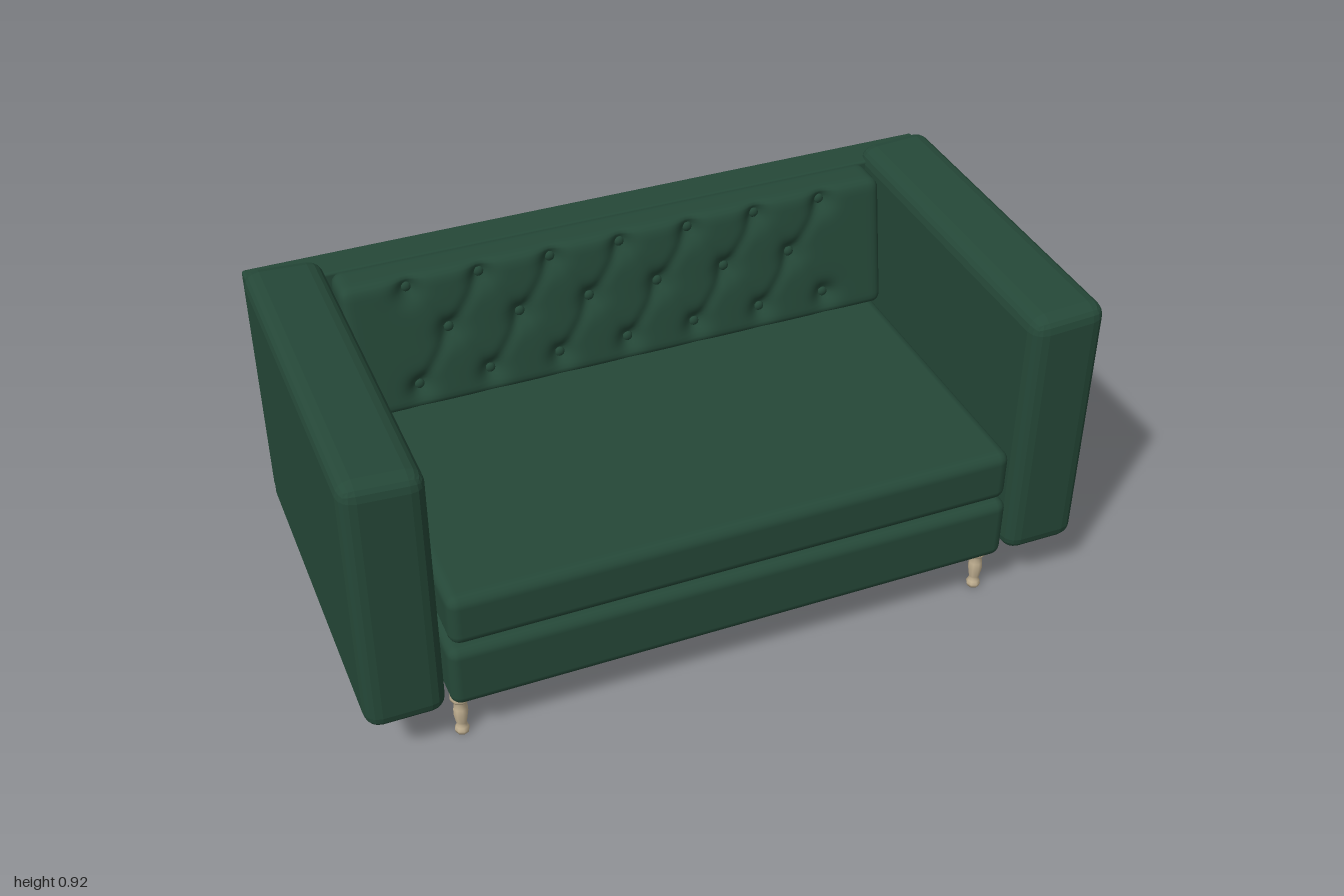
import * as THREE from 'three';
import { mergeVertices } from 'three/addons/utils/BufferGeometryUtils.js';
import { RoundedBoxGeometry } from 'three/addons/geometries/RoundedBoxGeometry.js';

const green = new THREE.MeshStandardMaterial({ color: 0x254838 });
green.name = 'green upholstery';
const wood = new THREE.MeshStandardMaterial({ color: 0xc4b394 });
wood.name = 'pale wood';

function add(parent, name, geometry, material, x = 0, y = 0, z = 0) {
  const mesh = new THREE.Mesh(geometry, material);
  mesh.name = name;
  mesh.position.set(x, y, z);
  parent.add(mesh);
  return mesh;
}

// Rounded block given by its limits on each axis
function block(parent, name, [x0, x1], [y0, y1], [z0, z1], radius) {
  const geometry = new RoundedBoxGeometry(x1 - x0, y1 - y0, z1 - z0, 2, radius);
  return add(parent, name, geometry, green, (x0 + x1) / 2, (y0 + y1) / 2, (z0 + z1) / 2);
}

// Button centres on the back cushion: rows of 7, 6 and 7
const buttons = [];
for (const [y, count] of [[0.845, 7], [0.71, 6], [0.567, 7]]) {
  for (let i = 0; i < count; i++) buttons.push([(i - (count - 1) / 2) * 0.2, y]);
}

// Creases join each button to its diagonal neighbours
const creases = [];
for (const a of buttons) {
  for (const b of buttons) {
    if (a[1] > b[1] && a[1] - b[1] < 0.2 && Math.abs(a[0] - b[0]) < 0.15) creases.push([a, b]);
  }
}

function creaseDistance(x, y, [a, b]) {
  const dx = b[0] - a[0], dy = b[1] - a[1];
  const t = THREE.MathUtils.clamp(((x - a[0]) * dx + (y - a[1]) * dy) / (dx * dx + dy * dy), 0, 1);
  return Math.hypot(x - a[0] - t * dx, y - a[1] - t * dy);
}

// How far the tufted front is pulled in at a point
function tuftDepth(x, y) {
  let depth = 0;
  for (const [bx, by] of buttons) {
    depth += 0.026 * Math.exp(-((x - bx) ** 2 + (y - by) ** 2) / 0.0012);
  }
  let nearest = 1;
  for (const crease of creases) nearest = Math.min(nearest, creaseDistance(x, y, crease));
  return depth + 0.007 * Math.exp(-(nearest ** 2) / 0.0003);
}

// Leaning back cushion: a rounded box whose front is sloped and tufted
function tuftedCushion() {
  const w = 1.56, h = 0.375, d = 0.16, r = 0.03;
  const bottom = 0.505, back = -0.43;
  let geometry = new THREE.BoxGeometry(w, h, d, 130, 32, 8);
  geometry.deleteAttribute('uv');
  geometry.deleteAttribute('normal');
  geometry = mergeVertices(geometry);
  const p = geometry.attributes.position;
  const v = new THREE.Vector3(), core = new THREE.Vector3();
  const limit = new THREE.Vector3(w / 2 - r, h / 2 - r, d / 2 - r);
  for (let i = 0; i < p.count; i++) {
    v.fromBufferAttribute(p, i);
    core.copy(v).clamp(limit.clone().negate(), limit);
    v.sub(core).setLength(r).add(core);
    const y = v.y + h / 2 + bottom;
    const front = THREE.MathUtils.clamp(v.z / d + 0.5, 0, 1);
    const thickness = THREE.MathUtils.lerp(0.19, 0.115, (y - bottom) / h);
    const z = back + front * thickness - tuftDepth(v.x, y) * front ** 2;
    p.setXYZ(i, v.x, y, z);
  }
  geometry.computeVertexNormals();
  return geometry;
}

export function createModel() {
  const sofa = new THREE.Group();
  sofa.name = 'sofa';

  // Frame
  block(sofa, 'backPanel', [-0.99, 0.99], [0.155, 0.875], [-0.53, -0.425], 0.008);
  block(sofa, 'base', [-0.78, 0.78], [0.15, 0.338], [-0.45, 0.52], 0.03);

  // Arms, with a gently crowned top
  for (const side of [-1, 1]) {
    const arm = block(sofa, side > 0 ? 'leftArm' : 'rightArm',
      side > 0 ? [0.79, 1] : [-1, -0.79], [0.15, 0.918], [-0.48, 0.525], 0.042);
    const p = arm.geometry.attributes.position;
    for (let i = 0; i < p.count; i++) {
      // Inner top edge sits lower than the outer one
      if (p.getY(i) > 0.3) p.setY(i, p.getY(i) - 0.012 * (0.5 - side * p.getX(i) / 0.21));
    }
    arm.geometry.computeVertexNormals();
  }

  // Seat cushion
  block(sofa, 'seatCushion', [-0.772, 0.772], [0.35, 0.503], [-0.4, 0.52], 0.032);

  // Tufted back cushion and its buttons
  add(sofa, 'backCushion', tuftedCushion(), green);
  const buttonGeometry = new THREE.SphereGeometry(0.015, 10, 6).scale(1, 1, 0.6);
  for (const [x, y] of buttons) {
    const slope = THREE.MathUtils.lerp(0.19, 0.115, (y - 0.505) / 0.375);
    add(sofa, 'button', buttonGeometry, green, x, y, -0.43 + slope - 0.029);
  }

  // Turned legs with a faceted block at the top
  const profile = [
    [0, 0], [0.018, 0], [0.02, 0.01], [0.016, 0.018], [0.013, 0.028], [0.015, 0.035],
    [0.02, 0.065], [0.019, 0.085], [0.015, 0.105], [0.024, 0.112], [0.026, 0.12],
    [0.026, 0.155], [0, 0.155],
  ].map(([r, y]) => new THREE.Vector2(r, y));
  const legGeometry = new THREE.LatheGeometry(profile, 8);
  for (const x of [-0.745, 0.745]) {
    for (const z of [-0.43, 0.45]) add(sofa, 'leg', legGeometry, wood, x, 0, z);
  }

  return sofa;
}
